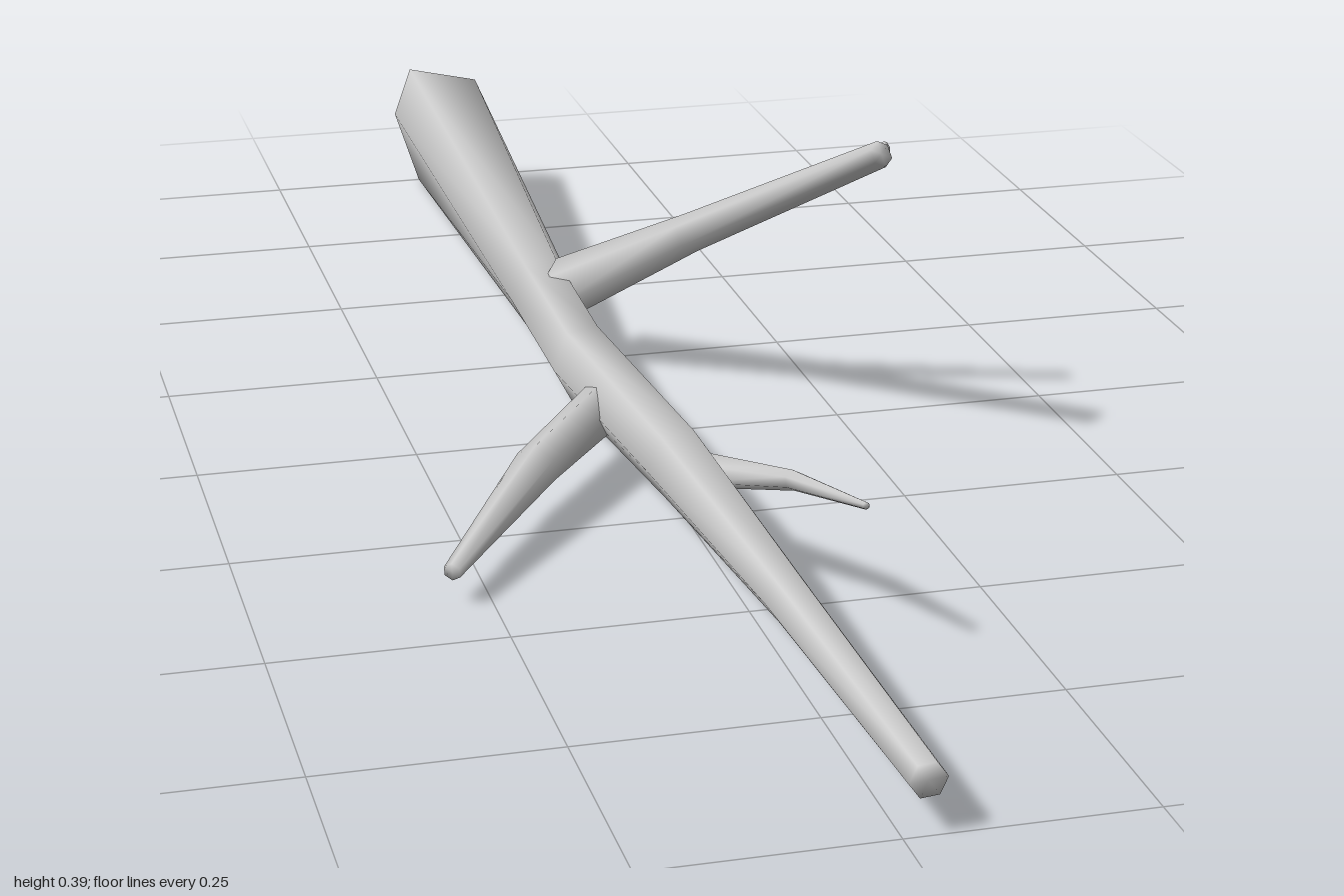
import * as THREE from 'three';

const SIDES = 6;

// Smooth closed skin over rings of SIDES points, capped at both ends
function loft(rings, name, material) {
  const pos = [], index = [];
  rings.forEach(r => r.forEach(p => pos.push(p.x, p.y, p.z)));
  for (let i = 0; i < rings.length - 1; i++) {
    for (let k = 0; k < SIDES; k++) {
      const a = i * SIDES + k, b = i * SIDES + (k + 1) % SIDES;
      index.push(a, b, a + SIDES, b, b + SIDES, a + SIDES);
    }
  }
  const last = (rings.length - 1) * SIDES, centre = rings.length * SIDES;
  [rings[0], rings[rings.length - 1]].forEach(r => {
    const c = r.reduce((s, p) => s.add(p), new THREE.Vector3()).divideScalar(SIDES);
    pos.push(c.x, c.y, c.z);
  });
  for (let k = 0; k < SIDES; k++) {
    const n = (k + 1) % SIDES;
    index.push(centre, n, k, centre + 1, last + k, last + n);
  }
  const geo = new THREE.BufferGeometry();
  geo.setAttribute('position', new THREE.Float32BufferAttribute(pos, 3));
  geo.setIndex(index);
  geo.computeVertexNormals();
  const mesh = new THREE.Mesh(geo, material);
  mesh.name = name;
  return mesh;
}

// Ring of points in the plane spanned by u and v
function ring(c, u, v, ru, rv, phase = 0) {
  return Array.from({ length: SIDES }, (_, k) => {
    const a = phase + k / SIDES * Math.PI * 2;
    return c.clone().addScaledVector(u, Math.cos(a) * ru).addScaledVector(v, Math.sin(a) * rv);
  });
}

// Tapered limb along stations [x, y, z, radius]
function limb(stations, name, material) {
  const pts = stations.map(s => new THREE.Vector3(s[0], s[1], s[2]));
  const up = new THREE.Vector3(0, 1, 0);
  const rings = pts.map((p, i) => {
    const t = pts[Math.min(i + 1, pts.length - 1)].clone().sub(pts[Math.max(i - 1, 0)]).normalize();
    const u = up.clone().cross(t).normalize();
    const v = t.clone().cross(u);
    return ring(p, u, v, stations[i][3], stations[i][3], Math.PI / 6);
  });
  return loft(rings, name, material);
}

export function createModel() {
  const group = new THREE.Group();
  group.name = 'branch';
  const material = new THREE.MeshStandardMaterial({ color: 0xcccccc });

  // Main stem: obliquely broken thick end, then tapering rings
  const brokenEnd = [
    [0.028, 0.09, -0.92], [0.015, 0.163, -0.93], [-0.07, 0.175, -0.96],
    [-0.085, 0.1, -1], [-0.053, 0.002, -1], [0.007, 0.023, -0.955],
  ].map(p => new THREE.Vector3(...p));
  const X = new THREE.Vector3(1, 0, 0), Y = new THREE.Vector3(0, 1, 0);
  const stem = [ // x, y, z, half width, half height
    [-0.034, 0.073, -0.3, 0.039, 0.05],
    [-0.036, 0.066, -0.07, 0.037, 0.05],
    [-0.034, 0.108, 0.35, 0.036, 0.041],
    [-0.003, 0.083, 0.65, 0.025, 0.026],
    [0.023, 0.058, 1, 0.019, 0.019],
  ].map(([x, y, z, w, h]) => ring(new THREE.Vector3(x, y, z), X, Y, w, h, 0.1));
  group.add(loft([brokenEnd, ...stem], 'mainStem', material));

  // Side branches and twigs
  const limbs = {
    upperBranch: [[-0.012, 0.095, -0.26, 0.036], [0.1, 0.205, -0.105, 0.023], [0.24, 0.374, 0.17, 0.015]],
    upperTwig: [[0.085, 0.19, -0.125, 0.016], [0.2, 0.265, -0.042, 0.012], [0.294, 0.335, 0.027, 0.007]],
    leftBranch: [[-0.035, 0.075, 0.06, 0.03], [-0.16, 0.066, 0.22, 0.025], [-0.292, 0.04, 0.412, 0.01]],
    frontTwig: [[-0.015, 0.105, 0.36, 0.02], [0.045, 0.143, 0.5, 0.011], [0.078, 0.168, 0.637, 0.004]],
  };
  for (const [name, stations] of Object.entries(limbs)) group.add(limb(stations, name, material));
  return group;
}
